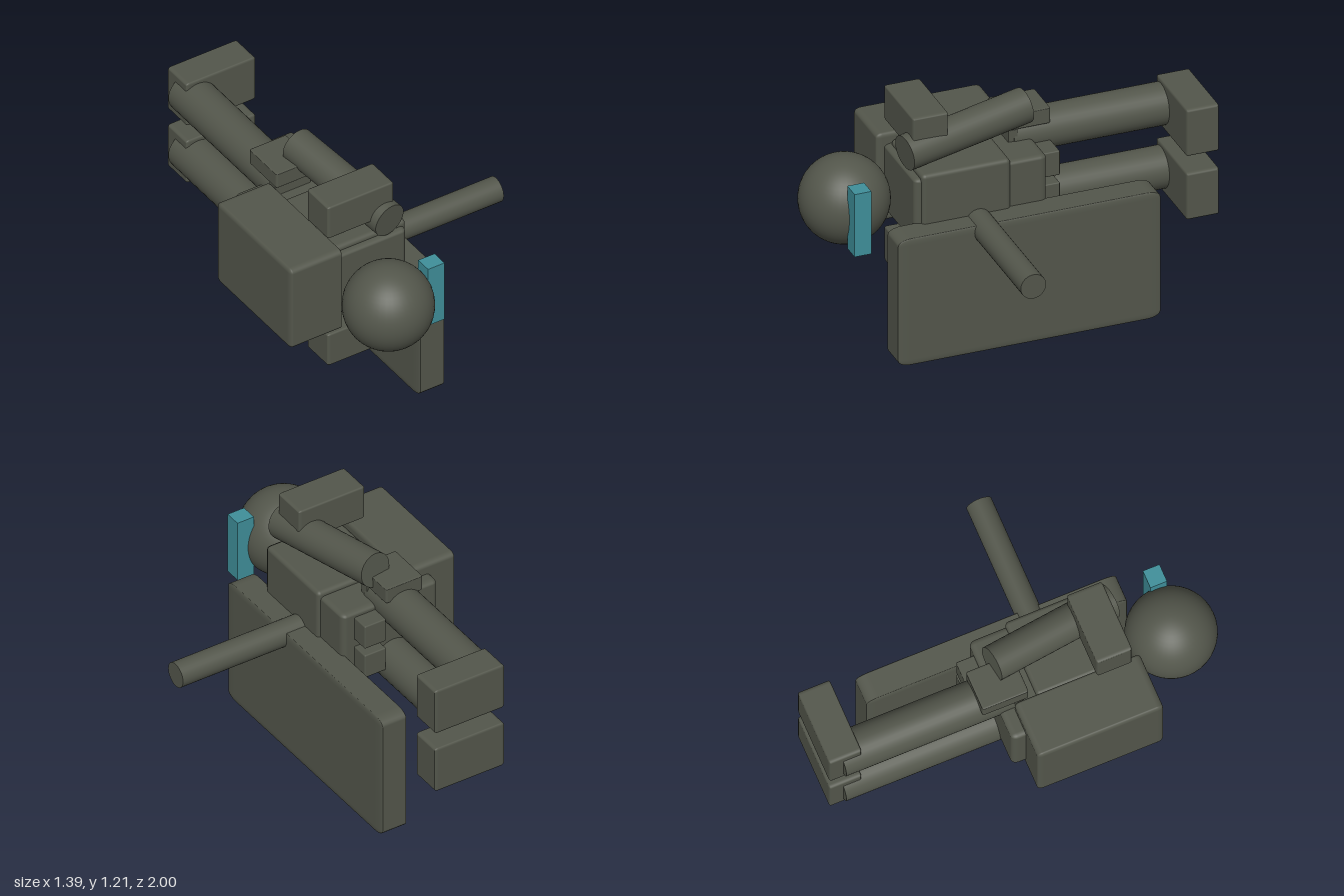
import * as THREE from 'three';
import { RoundedBoxGeometry } from 'three/addons/geometries/RoundedBoxGeometry.js';

export function createModel() {
  const model = new THREE.Group();
  model.name = 'recliningTrooper';
  const armour = new THREE.MeshStandardMaterial({ name: 'olive grey armour', color: 0x53564b });
  const glass = new THREE.MeshStandardMaterial({ name: 'teal visor', color: 0x3f8f9a });

  const roundedCube = new RoundedBoxGeometry(1, 1, 1, 3, 0.05);
  const cube = new THREE.BoxGeometry(1, 1, 1);

  function add(name, geometry, material = armour) {
    const mesh = new THREE.Mesh(geometry, material);
    mesh.name = name;
    model.add(mesh);
    return mesh;
  }

  // Box given by its extents along each axis
  function box(name, [x0, x1], [y0, y1], [z0, z1], geometry = roundedCube, material = armour) {
    const mesh = add(name, geometry, material);
    mesh.position.set((x0 + x1) / 2, (y0 + y1) / 2, (z0 + z1) / 2);
    mesh.scale.set(x1 - x0, y1 - y0, z1 - z0);
    return mesh;
  }

  // Round limb running between two points
  function limb(name, from, to, radius) {
    const a = new THREE.Vector3(...from);
    const b = new THREE.Vector3(...to);
    const axis = b.clone().sub(a);
    const mesh = add(name, new THREE.CylinderGeometry(radius, radius, axis.length(), 32));
    mesh.position.copy(a).add(b).multiplyScalar(0.5);
    mesh.quaternion.setFromUnitVectors(new THREE.Vector3(0, 1, 0), axis.normalize());
    return mesh;
  }

  // Head and visor
  add('head', new THREE.SphereGeometry(0.22, 40, 28)).position.set(-0.285, 0.735, 0.777);
  box('visor', [-0.1, -0.008], [0.57, 0.905], [0.75, 0.835], cube, glass);

  // Body and pack
  box('torso', [-0.55, -0.015], [0.56, 0.912], [-0.145, 0.527]);
  box('chestPlate', [-0.4, 0], [0.535, 0.937], [0.045, 0.495]);
  box('backpack', [-0.695, -0.4], [0.503, 0.97], [-0.075, 0.567]);

  // Legs, feet and belt pouches, one set on each side of the body
  const middle = 0.735;
  for (const [side, s] of [['left', 1], ['right', -1]]) {
    const legY = middle + s * 0.17;
    limb(side + 'Leg', [-0.3, legY, -0.05], [-0.3, legY, -0.93], 0.105);
    box(side + 'Foot', [-0.365, 0.025], [legY - 0.125, legY + 0.125], [-1, -0.835]);
    const pouchY = middle + s * 0.085;
    box(side + 'Pouch', [-0.2, -0.08], [pouchY - 0.065, pouchY + 0.065], [-0.235, -0.1]);
    const padY = middle + s * 0.378;
    box(side + 'ShoulderPad', [-0.45, -0.08], [padY - 0.092, padY + 0.092], [0.33, 0.51]);
  }

  // Hip holster and its clip
  box('holster', [-0.405, -0.2], [0.972, 1.055], [-0.235, 0]);
  box('holsterClip', [-0.4, -0.2], [0.9, 0.975], [-0.07, -0.02]);

  // Arms swing in opposite directions
  limb('leftArm', [-0.12, 1.01, 0.535], [-0.22, 1.085, -0.11], 0.088);
  limb('rightArm', [-0.22, 0.46, 0.535], [-0.12, 0.385, -0.11], 0.088);

  // Shield and weapon barrel
  box('shield', [-0.035, 0.11], [0, 0.677], [-0.67, 0.66]);
  limb('barrel', [-0.02, 0.641, 0.21], [0.692, 0.641, 0.21], 0.064);

  return model;
}
